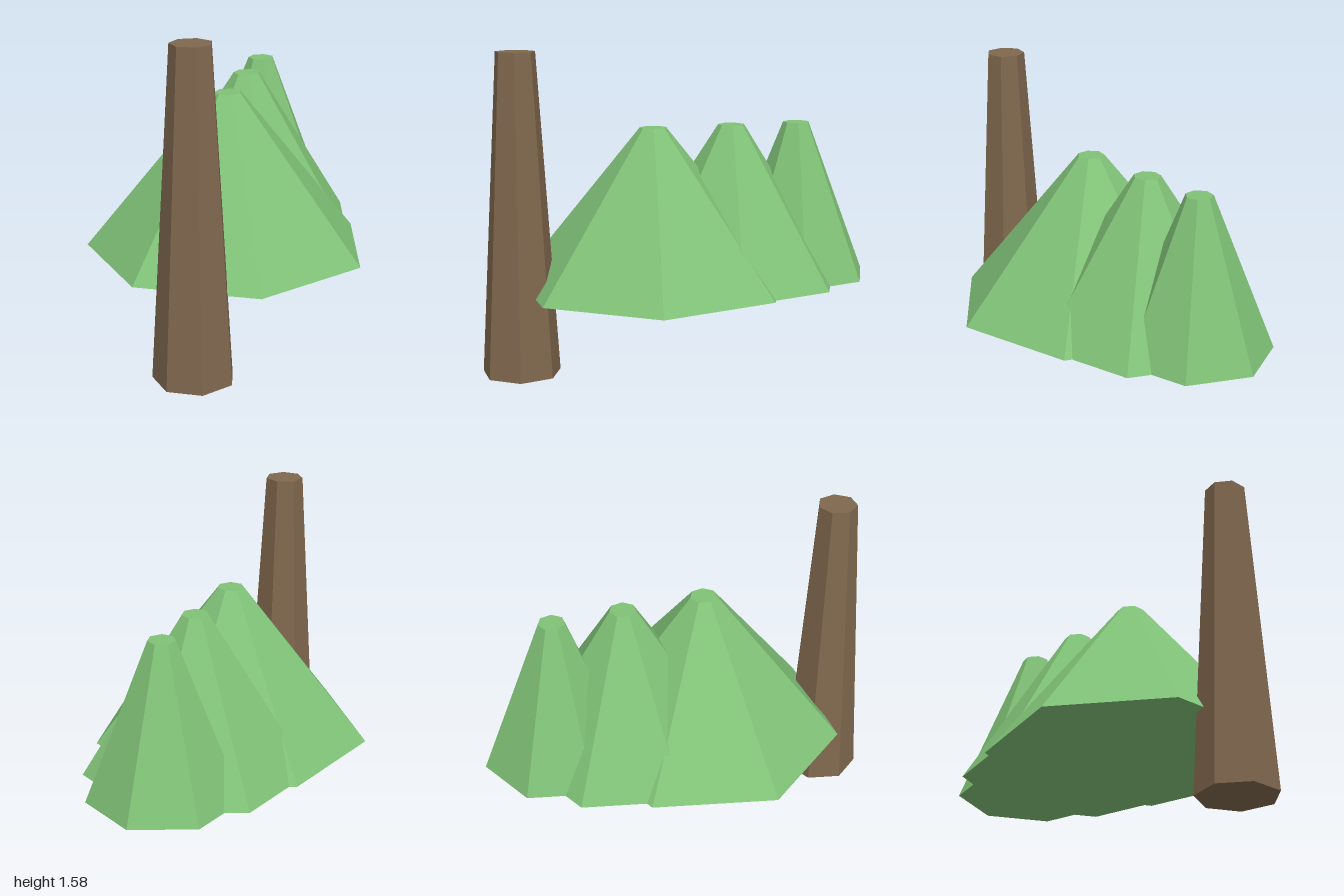
import * as THREE from 'three';

export function createModel() {
  const group = new THREE.Group();
  group.name = 'tree';

  const leaf = new THREE.MeshStandardMaterial({ color: 0x80c277, flatShading: true });
  leaf.name = 'leaf green';
  const bark = new THREE.MeshStandardMaterial({ color: 0x80684e, flatShading: true });
  bark.name = 'bark brown';

  // Seven-sided tapered column with one corner pointing to the back
  function frustum(name, material, rTop, rBottom, y0, y1, z) {
    const geometry = new THREE.CylinderGeometry(rTop, rBottom, y1 - y0, 7);
    geometry.rotateY(Math.PI);
    const mesh = new THREE.Mesh(geometry, material);
    mesh.name = name;
    mesh.position.set(0, (y0 + y1) / 2, z);
    group.add(mesh);
  }

  // Trunk stands at the front
  frustum('trunk', bark, 0.0975, 0.195, 0, 1.58, 0.825);

  // Three foliage cones in a row, shrinking toward the back
  const cones = [
    ['largeFoliage', 0.706, 0.143],
    ['middleFoliage', 0.57, -0.268],
    ['smallFoliage', 0.38, -0.62],
  ];
  for (const [name, radius, z] of cones) frustum(name, leaf, 0.067, radius, 0.4, 1.19, z);

  return group;
}
